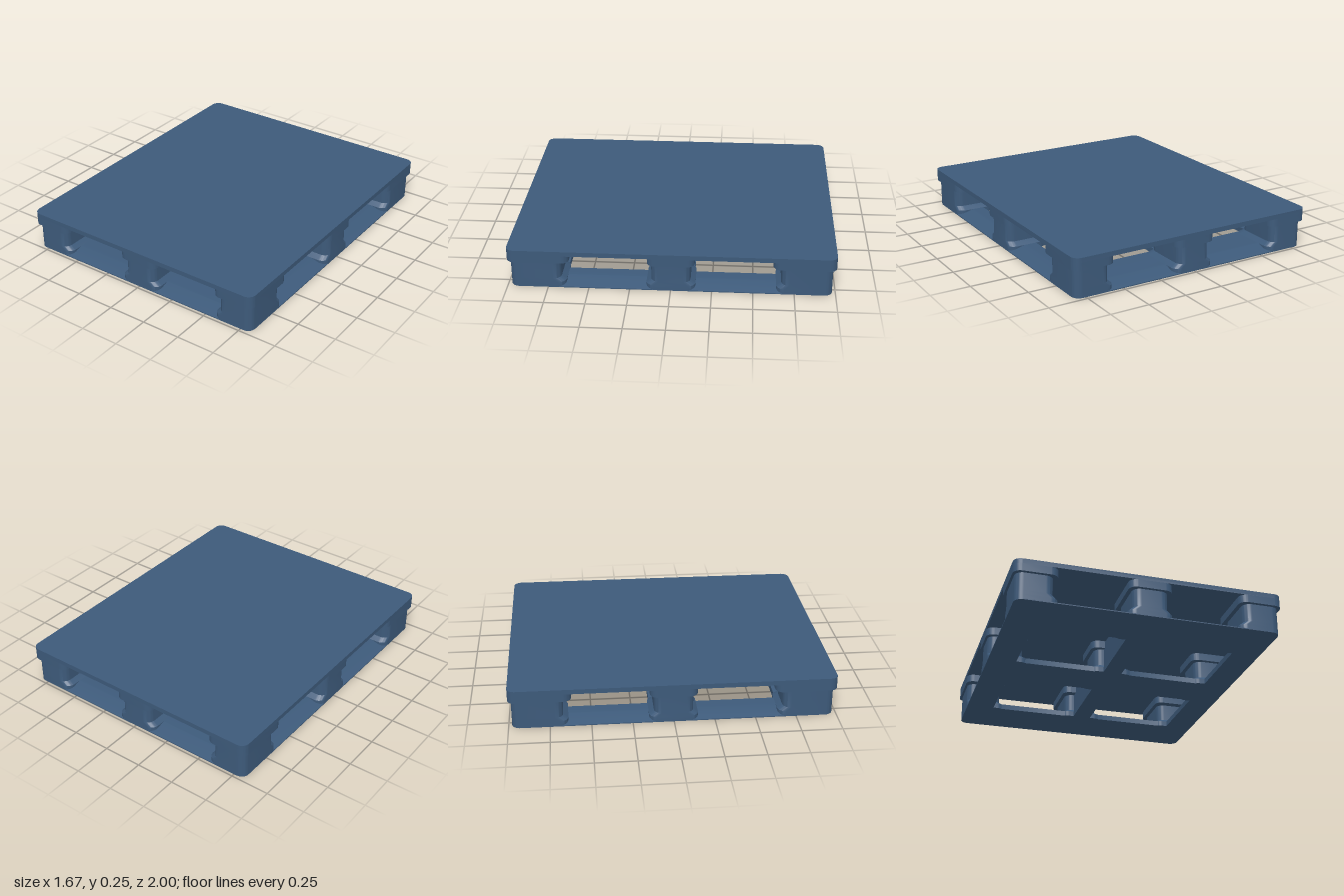
import * as THREE from 'three';
import { toCreasedNormals } from 'three/addons/utils/BufferGeometryUtils.js';

const DECK_X = 0.835, DECK_Z = 1, BASE_X = 0.82, BASE_Z = 0.98;

// Trace a rounded rectangle in plan, z running along the shape's -y
function roundedRect(path, x0, x1, z0, z1, r) {
  const y0 = -z1, y1 = -z0;
  path.moveTo(x0 + r, y0);
  path.lineTo(x1 - r, y0);
  path.absarc(x1 - r, y0 + r, r, -Math.PI / 2, 0);
  path.lineTo(x1, y1 - r);
  path.absarc(x1 - r, y1 - r, r, 0, Math.PI / 2);
  path.lineTo(x0 + r, y1);
  path.absarc(x0 + r, y1 - r, r, Math.PI / 2, Math.PI);
  path.lineTo(x0, y0 + r);
  path.absarc(x0 + r, y0 + r, r, Math.PI, Math.PI * 1.5);
  return path;
}

// Extrude a plan shape upward through the given heights; move(x, z, level) may shift points
function slab(shape, heights, move) {
  const steps = heights.length - 1;
  const geo = new THREE.ExtrudeGeometry(shape, { depth: steps, steps, curveSegments: 6, bevelEnabled: false });
  geo.rotateX(-Math.PI / 2);
  const p = geo.attributes.position;
  for (let i = 0; i < p.count; i++) {
    const level = Math.round(p.getY(i));
    let x = p.getX(i), z = p.getZ(i);
    if (move) [x, z] = move(x, z, level);
    p.setXYZ(i, x, heights[level], z);
  }
  return toCreasedNormals(geo, 0.5);
}

export function createModel() {
  const group = new THREE.Group();
  group.name = 'pallet';
  const plastic = new THREE.MeshStandardMaterial({ color: 0x3d5a7a });
  plastic.name = 'blue plastic';
  const add = (name, geo) => {
    const mesh = new THREE.Mesh(geo, plastic);
    mesh.name = name;
    group.add(mesh);
    return mesh;
  };

  // Flat top deck
  const deck = roundedRect(new THREE.Shape(), -DECK_X, DECK_X, -DECK_Z, DECK_Z, 0.05);
  add('deck', slab(deck, [0.225, 0.255]));

  // Base frame with four openings and a ramped outer edge
  const base = roundedRect(new THREE.Shape(), -BASE_X, BASE_X, -BASE_Z, BASE_Z, 0.05);
  for (const [x0, x1] of [[-0.64, -0.06], [0.06, 0.64]]) {
    for (const [z0, z1] of [[-0.65, -0.14], [0.14, 0.65]]) {
      base.holes.push(roundedRect(new THREE.Path(), x0, x1, z0, z1, 0.005));
    }
  }
  add('baseFrame', slab(base, [0, 0.006, 0.035], (x, z, level) => {
    if (level === 2) {
      if (Math.abs(x) > 0.7) x -= Math.sign(x) * 0.1;
      if (Math.abs(z) > 0.8) z -= Math.sign(z) * 0.1;
    }
    return [x, z];
  }));

  // Nine blocks, flared into the base on their inner sides, each under a wider collar
  const blockX = [[-BASE_X, -0.59], [-0.11, 0.11], [0.59, BASE_X]];
  const blockZ = [[-BASE_Z, -0.67], [-0.12, 0.12], [0.67, BASE_Z]];
  const collarX = [[-DECK_X, -0.563], [-0.135, 0.135], [0.563, DECK_X]];
  const collarZ = [[-DECK_Z, -0.62], [-0.145, 0.145], [0.62, DECK_Z]];
  const flare = [0.03, 0.03, 0, 0];
  for (let i = 0; i < 3; i++) {
    for (let j = 0; j < 3; j++) {
      const [x0, x1] = blockX[i], [z0, z1] = blockZ[j];
      const block = roundedRect(new THREE.Shape(), x0, x1, z0, z1, 0.05);
      add('block', slab(block, [0, 0.035, 0.06, 0.18], (x, z, level) => {
        const sx = Math.sign(x - (x0 + x1) / 2), sz = Math.sign(z - (z0 + z1) / 2);
        if (sx !== i - 1) x += sx * flare[level];
        if (sz !== j - 1) z += sz * flare[level];
        return [x, z];
      }));
      const collar = roundedRect(new THREE.Shape(), ...collarX[i], ...collarZ[j], 0.05);
      add('collar', slab(collar, [0.175, 0.226]));
    }
  }

  // Upright web along the middle, between the centre row of blocks
  for (const side of [-1, 1]) {
    const web = add('centreWeb', new THREE.BoxGeometry(0.1, 0.187, 0.58));
    web.position.set(0, 0.1235, side * 0.395);
  }
  return group;
}
